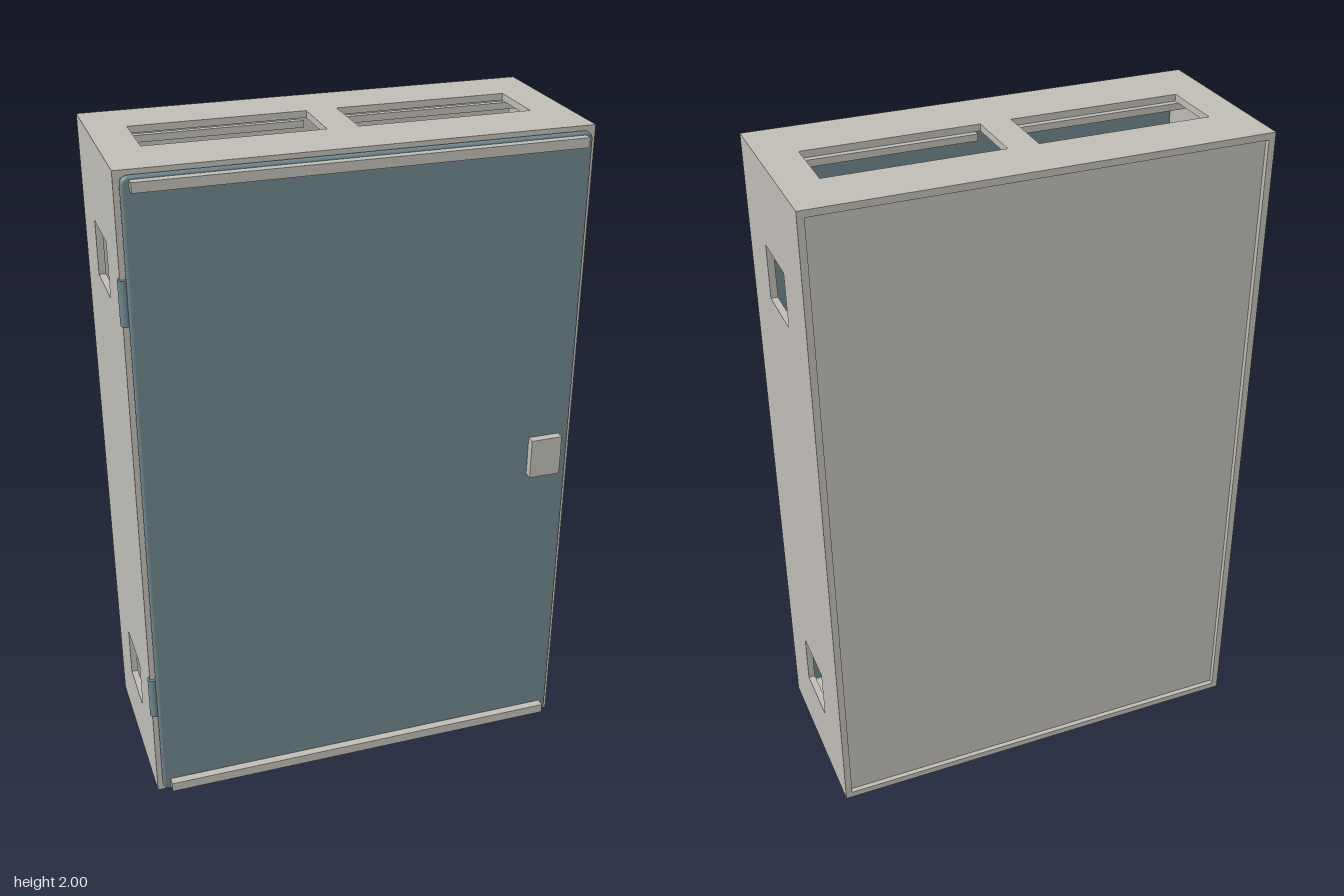
import * as THREE from 'three';

const shell = new THREE.MeshStandardMaterial({ color: 0xc0bdb6 });
shell.name = 'warm grey';
const paint = new THREE.MeshStandardMaterial({ color: 0x6f858b });
paint.name = 'blue grey';

// Box given by its limits on each axis
function block(parent, name, material, [x0, x1], [y0, y1], [z0, z1]) {
  const mesh = new THREE.Mesh(new THREE.BoxGeometry(x1 - x0, y1 - y0, z1 - z0), material);
  mesh.position.set((x0 + x1) / 2, (y0 + y1) / 2, (z0 + z1) / 2);
  mesh.name = name;
  parent.add(mesh);
  return mesh;
}

function rectangle(PathType, x0, x1, y0, y1) {
  return new PathType([[x0, y0], [x1, y0], [x1, y1], [x0, y1]].map(p => new THREE.Vector2(...p)));
}

// Horizontal panel with two cable openings
function slottedPanel(name, bottom) {
  const shape = rectangle(THREE.Shape, -0.645, 0.645, -0.25, 0.297);
  shape.holes.push(rectangle(THREE.Path, -0.555, -0.045, -0.065, 0.127));
  shape.holes.push(rectangle(THREE.Path, 0.045, 0.555, -0.065, 0.127));
  const geometry = new THREE.ExtrudeGeometry(shape, { depth: 0.02, bevelEnabled: false });
  geometry.rotateX(-Math.PI / 2);
  const mesh = new THREE.Mesh(geometry, shell);
  mesh.position.y = bottom;
  mesh.name = name;
  return mesh;
}

// Door leaf with rounded corners and softened edges
function doorLeaf() {
  const b = 0.008, x = 0.65 - b, y0 = 0.012 + b, y1 = 1.988 - b, r = 0.014;
  const s = new THREE.Shape();
  s.moveTo(-x + r, y0);
  s.lineTo(x - r, y0);
  s.absarc(x - r, y0 + r, r, -Math.PI / 2, 0);
  s.lineTo(x, y1 - r);
  s.absarc(x - r, y1 - r, r, 0, Math.PI / 2);
  s.lineTo(-x + r, y1);
  s.absarc(-x + r, y1 - r, r, Math.PI / 2, Math.PI);
  s.lineTo(-x, y0 + r);
  s.absarc(-x + r, y0 + r, r, Math.PI, Math.PI * 1.5);
  const geometry = new THREE.ExtrudeGeometry(s, {
    depth: 0.022 - 2 * b, bevelThickness: b, bevelSize: b, bevelSegments: 4, curveSegments: 6,
  });
  const mesh = new THREE.Mesh(geometry, paint);
  mesh.position.z = 0.25 + b;
  mesh.name = 'door';
  return mesh;
}

export function createModel() {
  const model = new THREE.Group();
  model.name = 'wallCabinet';

  // Top, bottom and recessed back
  model.add(slottedPanel('topPanel', 1.98), slottedPanel('bottomPanel', 0));
  block(model, 'backPanel', shell, [-0.645, 0.645], [0.02, 1.98], [-0.282, -0.268]);

  // Sides in bands, with a square opening in the two narrow ones
  for (const [name, x] of [['left', [0.645, 0.665]], ['right', [-0.665, -0.645]]]) {
    const side = new THREE.Group();
    side.name = name + 'Side';
    model.add(side);
    for (const y of [[0, 0.2], [0.36, 1.59], [1.75, 2]]) {
      block(side, 'sideBand', shell, x, y, [-0.297, 0.25]);
    }
    for (const y of [[0.2, 0.36], [1.59, 1.75]]) {
      block(side, 'openingRear', shell, x, y, [-0.297, -0.11]);
      block(side, 'openingFront', shell, x, y, [0.07, 0.25]);
    }
  }

  // Mounting plate and the rails along the cable openings
  block(model, 'mountingPlate', paint, [-0.6, 0.6], [0.06, 1.94], [-0.128, -0.118]);
  for (const x of [[-0.6, -0.06], [0.06, 0.6]]) {
    for (const y of [[0.02, 0.04], [1.96, 1.98]]) {
      block(model, 'rearRail', shell, x, y, [-0.12, -0.102]);
      block(model, 'frontRail', shell, x, y, [0.047, 0.07]);
    }
  }

  // Door with trim strips and latch
  model.add(doorLeaf());
  for (const y of [[0.024, 0.054], [1.952, 1.98]]) {
    block(model, 'trimStrip', shell, [-0.627, 0.627], y, [0.27, 0.297]);
  }
  block(model, 'latch', shell, [0.52, 0.617], [0.942, 1.067], [0.27, 0.297]);

  // Hinges on the right edge
  for (const y of [[0.295, 0.43], [1.58, 1.71]]) {
    const barrel = new THREE.Mesh(new THREE.CylinderGeometry(0.016, 0.016, y[1] - y[0], 20), paint);
    barrel.position.set(-0.655, (y[0] + y[1]) / 2, 0.245);
    barrel.name = 'hingeBarrel';
    model.add(barrel);
  }
  return model;
}
